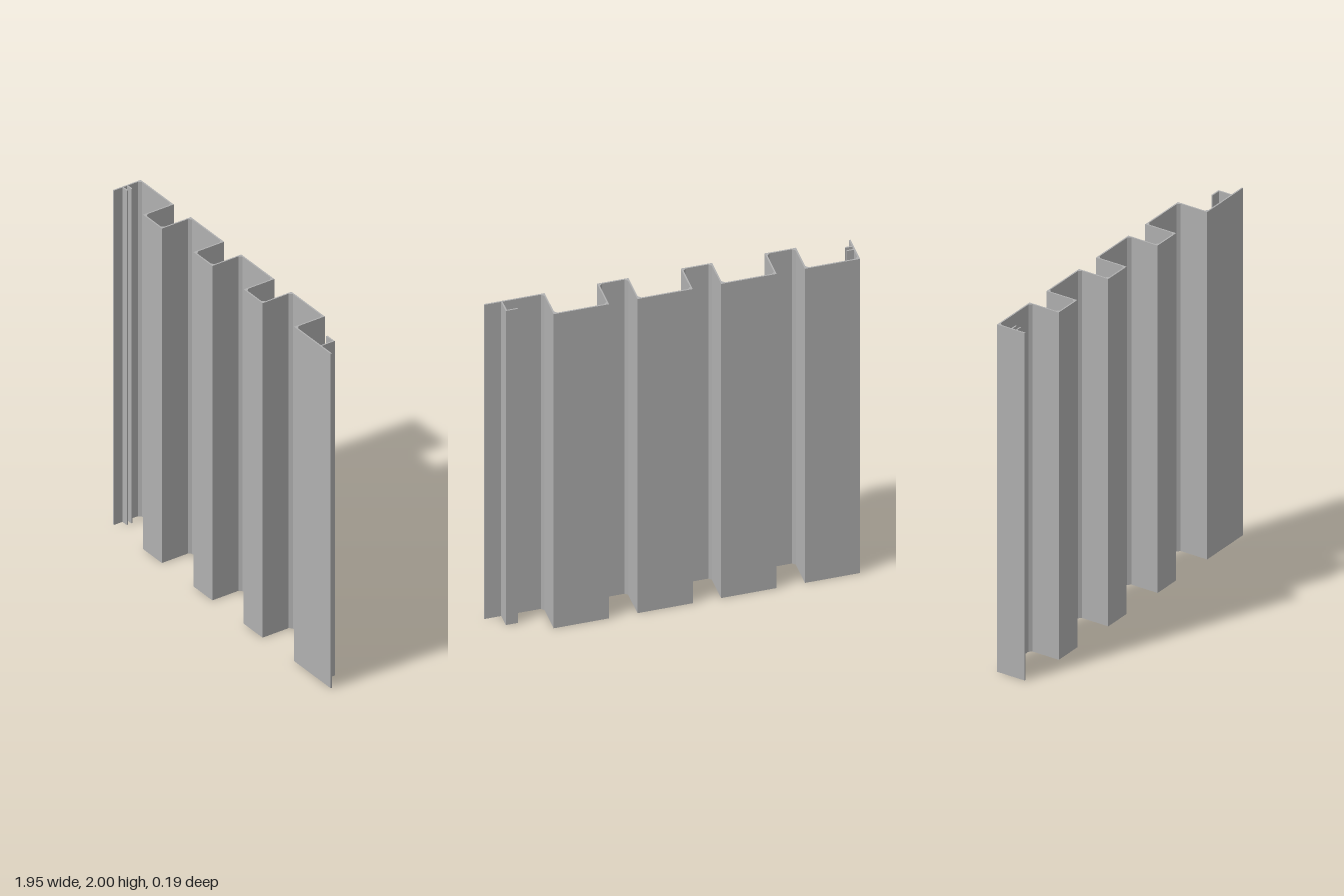
import * as THREE from 'three';

const HEIGHT = 2;
const HALF = 0.004; // half the sheet thickness
const FILLET = 0.015; // bevel on the inside of each fold

// Outline of a folded sheet around a centre line of [x, z] points
function sheetOutline(path) {
  const pts = path.map(([x, z]) => new THREE.Vector2(x, -z));
  const dirs = pts.slice(1).map((p, i) => p.clone().sub(pts[i]).normalize());
  const normal = (d) => new THREE.Vector2(-d.y, d.x);
  const edge = (side) => pts.flatMap((p, i) => {
    const a = dirs[i - 1], b = dirs[i];
    if (!a || !b) return [p.clone().addScaledVector(normal(a || b), side * HALF)];
    const corner = p.clone().add(normal(a).add(normal(b)).multiplyScalar(side * HALF));
    if (Math.sign(a.cross(b)) !== side) return [corner];
    return [corner.clone().addScaledVector(a, -FILLET), corner.clone().addScaledVector(b, FILLET)];
  });
  return new THREE.Shape([...edge(-1), ...edge(1).reverse()]);
}

export function createModel() {
  const group = new THREE.Group();
  const steel = new THREE.MeshStandardMaterial({ color: 0xb0b0b0 });
  steel.name = 'grey steel';

  const add = (name, geometry) => {
    const mesh = new THREE.Mesh(geometry, steel);
    mesh.name = name;
    group.add(mesh);
    return mesh;
  };
  // Upright strip spanning x0..x1 and z0..z1
  const strip = (name, x0, x1, z0, z1) =>
    add(name, new THREE.BoxGeometry(x1 - x0, HEIGHT, z1 - z0))
      .position.set((x0 + x1) / 2, HEIGHT / 2, (z0 + z1) / 2);

  // Corrugated sheet: the folds alternate between back and front planes
  const back = -0.089, front = 0.089;
  const path = [[-0.971, 0.078], [-0.971, back]];
  let z = back;
  for (const x of [-0.685, -0.526, -0.238, -0.079, 0.208, 0.367, 0.655]) {
    path.push([x, z], [x, -z]);
    z = -z;
  }
  path.push([0.975, front]);
  const sheet = new THREE.ExtrudeGeometry(sheetOutline(path), { depth: HEIGHT, bevelEnabled: false });
  sheet.rotateX(-Math.PI / 2);
  add('corrugatedSheet', sheet);

  // Pair of lips forming the groove on the edge flange
  for (const lipZ of [-0.006, 0.022]) strip('grooveLip', -0.967, -0.929, lipZ - HALF, lipZ + HALF);

  // Angled hook behind the opposite edge
  strip('hookWeb', 0.877, 0.885, 0.004, 0.085);
  strip('hookLip', 0.82, 0.877, 0.004, 0.012);

  return group;
}
